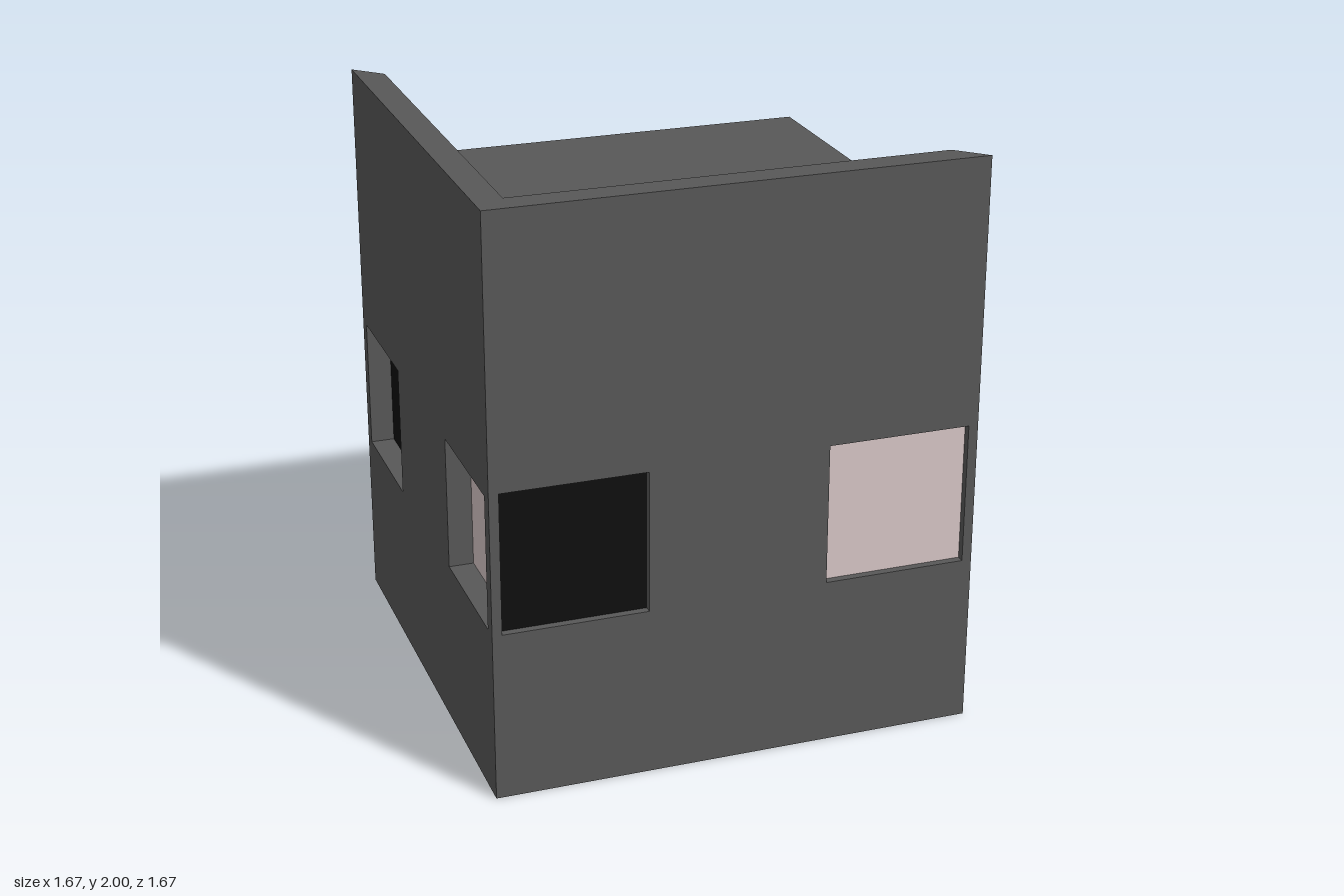
import * as THREE from 'three';

const H = 0.833;        // half width of the block
const ROOF = 1.667;     // roof height
const TOP = 2;          // parapet height

export function createModel() {
  const model = new THREE.Group();
  const mat = (name, color) => {
    const m = new THREE.MeshStandardMaterial({ color });
    m.name = name;
    return m;
  };
  const grey = mat('dark grey wall', 0x585858);
  const black = mat('black pane', 0x0e0e0e);
  const pink = mat('pale pink pane', 0xd8c7c7);

  const add = (parent, name, geometry, material, x = 0, y = 0, z = 0) => {
    const mesh = new THREE.Mesh(geometry, material);
    mesh.name = name;
    mesh.position.set(x, y, z);
    parent.add(mesh);
    return mesh;
  };
  const rect = (Type, x0, y0, x1, y1) => {
    const p = new Type();
    p.moveTo(x0, y0);
    p.lineTo(x1, y0);
    p.lineTo(x1, y1);
    p.lineTo(x0, y1);
    p.closePath();
    return p;
  };

  // Wall slab facing local +z, with two recessed windows and their panes
  const windowWall = (name, xEnd, depth, inner, outer, y0, y1) => {
    const wall = new THREE.Group();
    wall.name = name;
    const shape = rect(THREE.Shape, -H, 0, xEnd, ROOF);
    for (const side of [-1, 1]) {
      shape.holes.push(rect(THREE.Path, side * inner, y0, side * outer, y1));
      add(wall, side < 0 ? 'blackPane' : 'pinkPane',
        new THREE.BoxGeometry(outer - inner, y1 - y0, 0.006), side < 0 ? black : pink,
        side * (inner + outer) / 2, (y0 + y1) / 2, H - depth + 0.003);
    }
    const slab = new THREE.ExtrudeGeometry(shape, { depth, bevelEnabled: false });
    add(wall, 'wallSlab', slab, grey, 0, 0, H - depth);
    model.add(wall);
    return wall;
  };

  const frontDepth = 0.033, sideDepth = 0.09;
  windowWall('frontWall', H, frontDepth, 0.308, 0.8, 0.59, 1.08);
  windowWall('rightWall', H - frontDepth, sideDepth, 0.315, 0.785, 0.593, 1.057)
    .rotation.y = -Math.PI / 2;

  // Solid block behind the two window walls
  add(model, 'block',
    new THREE.BoxGeometry(2 * H - sideDepth, ROOF, 2 * H - frontDepth), grey,
    sideDepth / 2, ROOF / 2, -frontDepth / 2);

  // L-shaped parapet with mitred ends, along the front and right edges
  const I = 0.737;
  const outline = [[-H, H], [-H, -H], [H, -H], [I, -I], [-I, -I], [-I, I]];
  const parapet = new THREE.ExtrudeGeometry(
    new THREE.Shape(outline.map(([x, y]) => new THREE.Vector2(x, y))),
    { depth: TOP - ROOF, bevelEnabled: false });
  parapet.rotateX(-Math.PI / 2);
  add(model, 'parapet', parapet, grey, 0, ROOF, 0);

  return model;
}
